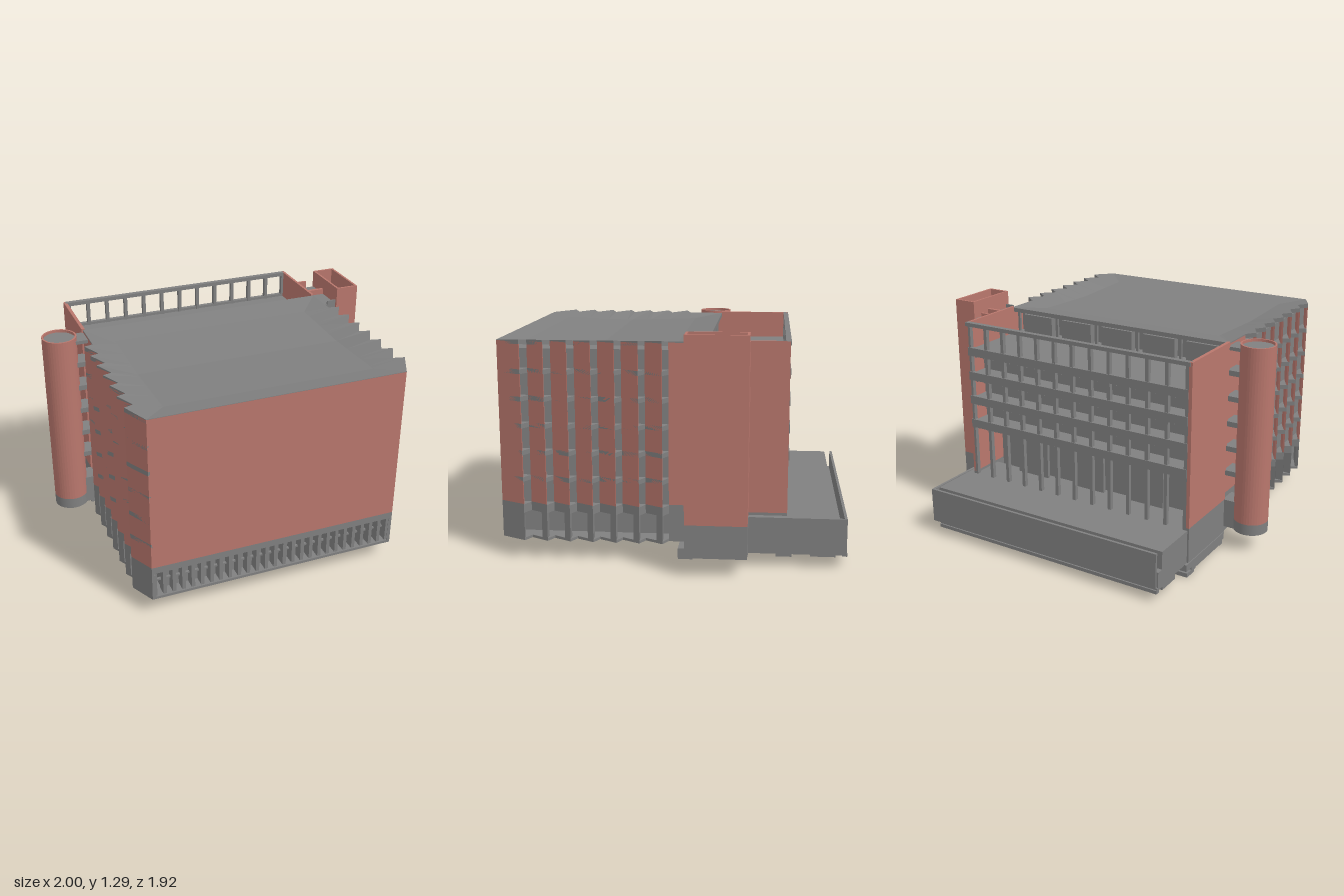
import * as THREE from 'three';

const material = (name, color) => {
  const m = new THREE.MeshStandardMaterial({ color, side: THREE.DoubleSide });
  m.name = name;
  return m;
};

export function createModel() {
  const model = new THREE.Group();
  model.name = 'building';
  const brick = material('brick red', 0xb9776d);
  const concrete = material('concrete grey', 0x808080);

  const add = (name, geo, mat) => {
    const mesh = new THREE.Mesh(geo, mat);
    mesh.name = name;
    model.add(mesh);
    return mesh;
  };
  // Box given by its limits
  const box = (name, mat, x0, x1, y0, y1, z0, z1) => {
    const g = new THREE.BoxGeometry(x1 - x0, y1 - y0, z1 - z0);
    g.translate((x0 + x1) / 2, (y0 + y1) / 2, (z0 + z1) / 2);
    return add(name, g, mat);
  };
  // Vertical prism over an [x, z] outline, with an optional hole
  const prism = (name, mat, pts, y0, y1, hole) => {
    const flat = (list) => list.map(([x, z]) => new THREE.Vector2(x, -z));
    const shape = new THREE.Shape(flat(pts));
    if (hole) shape.holes.push(new THREE.Path(flat(hole)));
    const g = new THREE.ExtrudeGeometry(shape, { depth: y1 - y0, bevelEnabled: false });
    g.rotateX(-Math.PI / 2);
    g.translate(0, y0, 0);
    return add(name, g, mat);
  };
  const rect = (x0, x1, z0, z1) => [[x0, z0], [x1, z0], [x1, z1], [x0, z1]];

  // Saw-tooth side outline of the hall, front to back
  const peaks = Array.from({ length: 7 }, (_, i) => 0.82 - i * 0.1283);
  const side = [[0.73, 0.96]];
  peaks.forEach((z) => side.push([0.8, z], [0.745, z - 0.03]));
  side.push([0.745, -0.19]);
  const mirrored = side.map(([x, z]) => [-x, z]);
  const outline = [...side, ...mirrored.slice().reverse()];

  const floors = [1.06, 0.91, 0.76, 0.61, 0.46];

  // Hall body
  prism('hallFloor', concrete, outline, 0.11, 0.125);
  box('hallLowerCore', concrete, -0.66, 0.66, 0.12, 0.29, -0.1, 0.89);
  box('hallCore', concrete, -0.735, 0.735, 0.28, 1.18, -0.1, 0.946);
  box('frontWall', brick, -0.73, 0.73, 0.32, 1.222, 0.945, 0.96);
  box('frontBand', concrete, -0.73, 0.73, 0.28, 0.32, 0.9, 0.96);
  for (let i = 0; i < 27; i++) {
    const x = -0.71 + (i * 1.42) / 26;
    box('frontFin', concrete, x - 0.01, x + 0.01, 0.11, 0.285, 0.89, 0.95);
  }
  box('frontRail', concrete, -0.71, 0.71, 0.195, 0.205, 0.9, 0.915);

  // Folded side walls with open window slots and floor slabs
  for (const s of [1, -1]) {
    const plate = (name, mat, a, b, y0, y1, t = 0.012) =>
      prism(name, mat, [a, b, [b[0] - t, b[1]], [a[0] - t, a[1]]].map(([x, z]) => [s * x, z]), y0, y1);
    peaks.forEach((z, i) => {
      const a = side[2 * i], b = side[2 * i + 1], c = side[2 * i + 2];
      const mid = [a[0] + (b[0] - a[0]) * 0.65, a[1] + (b[1] - a[1]) * 0.65];
      plate('foldedWall', brick, a, b, 0.32, 1.222);
      plate('foldedBand', concrete, a, b, 0.27, 0.32);
      plate('foldedPier', concrete, i ? mid : a, b, 0.11, 0.27, i ? 0.05 : 0.02);
      const tri = [[0.72, a[1]], a, b, c, [0.72, c[1]]].map(([x, zz]) => [s * x, zz]);
      floors.forEach((y) => prism('slotSlab', concrete, tri, y - 0.013, y + 0.013));
      prism('slotSill', concrete, tri, 0.27, 0.318);
    });
    const last = side[side.length - 2];
    plate('hallRearSide', brick, last, [0.745, -0.19], 0.32, 1.22);
    plate('hallRearBase', concrete, last, [0.745, -0.19], 0.11, 0.32);
  }

  // Shallow sunken hall roof with a fascia following the folds
  const pos = [];
  const quad = (a, b, c, d) => pos.push(...a, ...b, ...c, ...a, ...c, ...d);
  const rimY = ([x, z]) => (Math.abs(z + 0.19) < 0.001 ? 1.227 : 1.205 + (Math.abs(x) - 0.6) * 0.15);
  const rim = (p) => [p[0], rimY(p), p[1]];
  const low = (p) => [p[0], rimY(p) - 0.025, p[1]];
  const inner = (p) => {
    const z = Math.min(0.83, Math.max(-0.02, p[1]));
    return [Math.sign(p[0]) * 0.6, 1.205 - 0.015 * (1 - Math.abs(z - 0.405) / 0.425), z];
  };
  outline.forEach((p, i) => {
    const q = outline[(i + 1) % outline.length];
    quad(rim(p), rim(q), inner(q), inner(p));
    quad(low(p), low(q), rim(q), rim(p));
  });
  const ridge = (x) => [x, 1.19, 0.405];
  quad([-0.6, 1.205, 0.83], [0.6, 1.205, 0.83], ridge(0.6), ridge(-0.6));
  quad(ridge(-0.6), ridge(0.6), [0.6, 1.205, -0.02], [-0.6, 1.205, -0.02]);
  const roof = new THREE.BufferGeometry();
  roof.setAttribute('position', new THREE.Float32BufferAttribute(pos, 3));
  roof.computeVertexNormals();
  add('hallRoof', roof, concrete);

  // Clerestory below the rear eave
  for (let i = 0; i < 5; i++) {
    const x = -0.68 + i * 0.285;
    box('clerestoryPanel', concrete, x, x + 0.21, 1.06, 1.19, -0.17, -0.13);
    box('clerestoryPost', concrete, x + 0.24, x + 0.255, 1.06, 1.2, -0.17, -0.155);
  }

  // Rear block: side walls, roof, recessed floors
  for (const s of [1, -1]) {
    const [x0, x1] = s > 0 ? [0.73, 0.745] : [-0.755, -0.735];
    box('rearSideWall', brick, x0, x1, 0.29, 1.235, -0.63, -0.19);
    box('rearSideBase', concrete, x0, x1, 0.08, 0.29, -0.63, -0.19);
  }
  box('rearRoof', concrete, -0.735, 0.735, 1.04, 1.07, -0.62, -0.1);
  box('rearUpperWall', concrete, -0.735, 0.735, 0.6, 1.05, -0.5, -0.1);
  box('rearLowerWall', concrete, -0.735, 0.735, 0.1, 0.61, -0.36, -0.1);
  [-0.5, -0.1, 0.3].forEach((x) => box('lobbyPanel', concrete, x, x + 0.22, 0.28, 0.6, -0.47, -0.45));
  floors.slice(0, 4).forEach((y) => {
    box('rearFloor', concrete, -0.735, 0.735, y - 0.015, y + 0.01, -0.61, -0.49);
    box('rearBand', concrete, -0.735, 0.735, y - 0.025, y + 0.025, -0.635, -0.61);
    for (let i = 0; i < 24; i++) {
      const x = -0.7 + (i * 1.4) / 23;
      box('floorRib', concrete, x - 0.006, x + 0.006, y - 0.04, y - 0.01, -0.61, -0.5);
    }
  });
  box('rearTopRail', concrete, -0.745, 0.745, 1.213, 1.235, -0.635, -0.605);
  for (let i = 0; i <= 12; i++) {
    const x = -0.725 + (i * 1.45) / 12;
    box('rearPost', concrete, x - 0.01, x + 0.01, 0.27, 1.22, -0.63, -0.605);
  }

  // Rear terrace with a sunken strip behind its parapet
  box('terrace', concrete, -0.745, 0.8, 0.075, 0.275, -0.905, -0.42);
  box('terraceStrip', concrete, -0.745, 0.8, 0.075, 0.17, -0.945, -0.9);
  box('terraceParapet', concrete, -0.735, 0.8, 0.075, 0.28, -0.955, -0.94);
  box('terraceEndWall', concrete, 0.785, 0.8, 0.075, 0.28, -0.95, -0.42);
  box('terraceLip', concrete, -0.745, 0.745, 0.05, 0.07, -0.963, -0.935);
  box('terraceLipWeb', concrete, -0.745, 0.745, 0.065, 0.08, -0.955, -0.9);
  box('terraceFooting', concrete, -0.745, 0.745, 0.045, 0.08, -0.9, -0.76);

  // Basement slab and beams below the rear block
  box('basementSlab', concrete, -0.745, 0.745, 0.075, 0.11, -0.66, -0.08);
  box('rearBeam', concrete, -0.76, 0.745, 0.04, 0.08, -0.66, -0.57);
  box('frontBeam', concrete, -0.76, 0.745, 0.04, 0.08, -0.27, -0.2);
  box('lowBeam', concrete, -0.76, 0.17, 0.015, 0.045, -0.25, -0.22);
  box('lowBeam', concrete, -0.76, 0.17, 0.015, 0.045, -0.6, -0.55);
  [-0.76, -0.27, 0.14].forEach((x) => box('crossBeam', concrete, x, x + 0.03, 0.02, 0.08, -0.6, -0.22));
  box('lowestFooting', concrete, -0.76, -0.27, 0, 0.025, -0.65, -0.57);
  box('towerFooting', concrete, 0.74, 0.86, 0.05, 0.11, -0.12, -0.04);

  // Hollow-topped stair tower
  const shaft = rect(0.855, 0.995, -0.42, -0.085), bore = rect(0.868, 0.982, -0.407, -0.098);
  prism('towerBase', concrete, shaft, 0.105, 0.287);
  prism('towerShaft', brick, shaft, 0.287, 1.295, bore);
  box('towerCap', concrete, 0.865, 0.985, 1.17, 1.19, -0.41, -0.095);

  // Stair landings joining the tower to the building
  box('landingBase', concrete, 0.745, 0.855, 0.075, 0.285, -0.42, -0.085);
  box('landingWall', brick, 0.745, 0.855, 0.285, 1.225, -0.29, -0.27);
  box('landingBackWall', brick, 0.745, 0.8, 0.285, 1.235, -0.42, -0.407);
  [1.18, 1.05, 0.91, 0.775, 0.6, 0.44].forEach((y) => {
    box('landing', concrete, 0.745, 0.855, y - 0.012, y + 0.012, -0.41, -0.1);
    box('landingRail', concrete, 0.8, 0.855, y, y + 0.035, -0.11, -0.1);
  });

  // Round tower with a brick rim and a sunken cap
  const round = (name, geo, mat, y) => add(name, geo, mat).position.set(-0.9, y, -0.14);
  round('roundTowerBase', new THREE.CylinderGeometry(0.1, 0.1, 0.065, 40), concrete, 0.1525);
  const wall = [[0.1, 0.185], [0.1, 1.235], [0.09, 1.235], [0.09, 1.19]];
  const wallGeo = new THREE.LatheGeometry(wall.map(([r, y]) => new THREE.Vector2(r, y)), 40).toNonIndexed();
  wallGeo.computeVertexNormals();
  round('roundTowerWall', wallGeo, brick, 0);
  round('roundTowerCap', new THREE.CylinderGeometry(0.092, 0.092, 0.02, 40), concrete, 1.21);

  // Bridges between round tower and building
  box('bridgeBase', concrete, -0.82, -0.745, 0.12, 0.29, -0.2, -0.085);
  box('bridgeRoof', concrete, -0.82, -0.745, 1.19, 1.21, -0.2, -0.085);
  floors.forEach((y) => box('bridge', concrete, -0.82, -0.745, y - 0.015, y + 0.015, -0.2, -0.085));

  return model;
}
